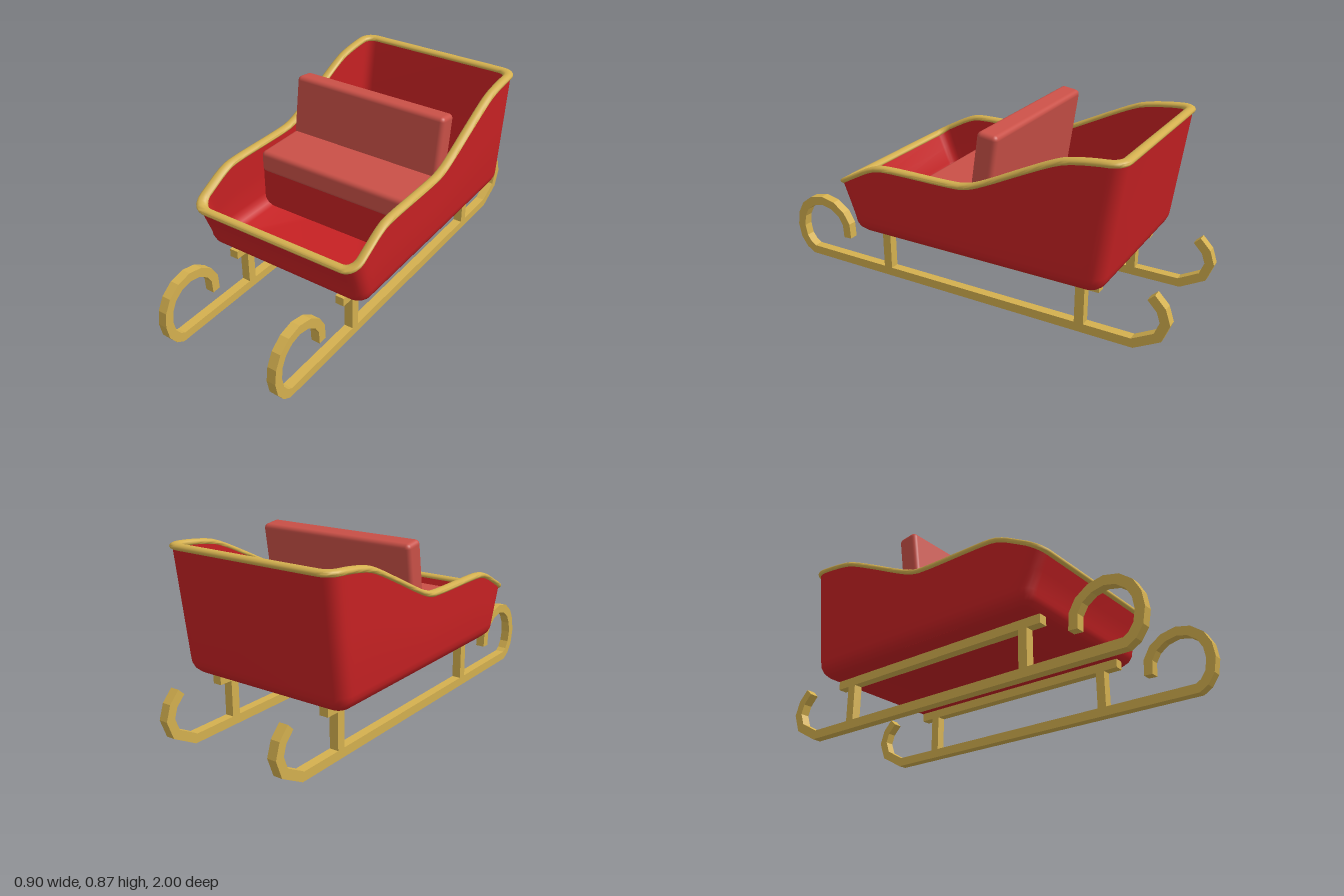
import * as THREE from 'three';
import { toCreasedNormals } from 'three/addons/utils/BufferGeometryUtils.js';
import { RoundedBoxGeometry } from 'three/addons/geometries/RoundedBoxGeometry.js';

const material = (name, color) => {
  const m = new THREE.MeshStandardMaterial({ color });
  m.name = name;
  return m;
};

// Height of the tub's rim along z: low at the front, sweeping up at the back
const rimPoints = new THREE.SplineCurve([
  [-0.81, 0.851], [-0.7, 0.846], [-0.58, 0.83], [-0.5, 0.805], [-0.35, 0.735], [-0.2, 0.662],
  [-0.1, 0.622], [0, 0.612], [0.32, 0.612], [0.41, 0.598], [0.5, 0.555], [0.63, 0.484],
].map(([z, y]) => new THREE.Vector2(z, y))).getPoints(120);

function rimHeight(z) {
  let i = 1;
  while (i < rimPoints.length - 1 && rimPoints[i].x < z) i++;
  const a = rimPoints[i - 1], b = rimPoints[i];
  return THREE.MathUtils.mapLinear(z, a.x, b.x, a.y, b.y);
}

// Rounded rectangle in plan; v runs from the foot of the wall (0) to the rim (1)
function planRing(inset, v) {
  const lerp = THREE.MathUtils.lerp;
  const front = lerp(0.55, 0.615, v) - inset;
  const back = lerp(-0.735, -0.802, v) + inset;
  const hw = 0.438 - inset, r = Math.max(0.03, 0.065 - inset * 0.6);
  const pts = [];
  const side = (x, z0, z1) => {
    for (let i = 1; i < 40; i++) pts.push([x, lerp(z0, z1, i / 40)]);
  };
  const corner = (cx, cz, start) => {
    for (let i = 0; i <= 5; i++) {
      const a = start + (i / 5) * Math.PI / 2;
      pts.push([cx + r * Math.cos(a), cz - r * Math.sin(a)]);
    }
  };
  side(hw, front - r, back + r);
  corner(hw - r, back + r, 0);
  corner(-hw + r, back + r, Math.PI / 2);
  side(-hw, back + r, front - r);
  corner(-hw + r, front - r, Math.PI);
  corner(hw - r, front - r, Math.PI * 1.5);
  return pts;
}
const rimRing = planRing(0, 1);

// Joins closed rings of [x, y, z] points into one skin
function loft(rings, crease) {
  const n = rings[0].length, index = [];
  for (let i = 0; i < rings.length - 1; i++) {
    for (let j = 0; j < n; j++) {
      const k = (j + 1) % n, a = i * n, b = a + n;
      index.push(a + j, a + k, b + k, a + j, b + k, b + j);
    }
  }
  const g = new THREE.BufferGeometry();
  g.setAttribute('position', new THREE.Float32BufferAttribute(rings.flat(2), 3));
  g.setIndex(index);
  return toCreasedNormals(g, crease);
}

// Tub: outer skin from the bottom up, over the rim and down to the inner floor
function tubGeometry() {
  const flat = (inset, y) => planRing(inset, 0).map(([x, z]) => [x, y, z]);
  const wall = (inset, v, y0) => planRing(inset, v).map(([x, z], j) =>
    [x, y0 + (rimHeight(rimRing[j][1]) - y0) * v, z]);
  const centre = (y) => rimRing.map(() => [0, y, -0.09]);
  return loft([
    centre(0.26), flat(0.06, 0.26), flat(0.036, 0.268), flat(0.014, 0.288), flat(0.003, 0.312),
    wall(0, 0, 0.335), wall(0, 0.5, 0.335), wall(0, 1, 0.335),
    wall(0.03, 1, 0.345), wall(0.03, 0.5, 0.345), wall(0.03, 0, 0.345),
    flat(0.036, 0.318), flat(0.052, 0.298), flat(0.08, 0.288), centre(0.288),
  ], 0.8);
}

// Trim: flattened tube that follows the rim
function trimGeometry() {
  const rings = [];
  for (let i = 0; i <= 12; i++) {
    const a = (i / 12) * Math.PI * 2;
    rings.push(planRing(0.012 - 0.023 * Math.cos(a), 1).map(([x, z], j) =>
      [x, rimHeight(rimRing[j][1]) + 0.015 * Math.sin(a), z]));
  }
  return loft(rings, 1.2);
}

// Runner: a constant-width band along a [z, y] centre line, extruded sideways
function runnerGeometry(width, thickness) {
  const path = [
    [0.68, 0.14], [0.684, 0.21], [0.713, 0.259], [0.765, 0.295], [0.83, 0.309], [0.892, 0.295],
    [0.942, 0.257], [0.97, 0.205], [0.979, 0.145], [0.967, 0.083], [0.938, 0.042], [0.905, 0.022],
    [-0.84, 0.022], [-0.95, 0.083], [-0.977, 0.155], [-0.957, 0.214], [-0.91, 0.263],
  ].map(([z, y]) => new THREE.Vector2(z, y));
  const left = [], right = [];
  path.forEach((p, i) => {
    const before = p.clone().sub(path[Math.max(i - 1, 0)]).normalize();
    const after = path[Math.min(i + 1, path.length - 1)].clone().sub(p).normalize();
    const t = before.clone().add(after).normalize();
    const mitre = Math.max(t.dot(before), t.dot(after));
    const offset = new THREE.Vector2(-t.y, t.x).multiplyScalar(thickness / 2 / mitre);
    left.push(p.clone().add(offset));
    right.unshift(p.clone().sub(offset));
  });
  const g = new THREE.ExtrudeGeometry(new THREE.Shape([...left, ...right]),
    { depth: width, bevelEnabled: false });
  g.translate(0, 0, -width / 2);
  return g.rotateY(-Math.PI / 2);
}

export function createModel() {
  const red = material('body red', 0xc62123);
  const gold = material('gold', 0xd4b04f);
  const rose = material('cushion rose', 0xc95047);
  const model = new THREE.Group();
  model.name = 'sleigh';

  const add = (parent, name, geometry, mat, x = 0, y = 0, z = 0) => {
    const mesh = new THREE.Mesh(geometry, mat);
    mesh.name = name;
    mesh.position.set(x, y, z);
    parent.add(mesh);
    return mesh;
  };

  add(model, 'tub', tubGeometry(), red);
  add(model, 'rimTrim', trimGeometry(), gold);

  // Bench
  const bench = new THREE.Group();
  bench.name = 'bench';
  model.add(bench);
  add(bench, 'seatBase', new THREE.BoxGeometry(0.81, 0.23, 0.32), red, 0, 0.385, -0.005);
  add(bench, 'seatCushion', new RoundedBoxGeometry(0.815, 0.11, 0.33, 3, 0.022), rose, 0, 0.533, 0.004);
  const rest = add(bench, 'backrest', new RoundedBoxGeometry(0.815, 0.39, 0.1, 3, 0.022), rose, 0, 0.67, -0.155);
  rest.rotation.x = -0.14;

  // Runners with posts and rails, mirrored left and right
  for (const [label, x] of [['left', 0.3], ['right', -0.3]]) {
    const skid = new THREE.Group();
    skid.name = label + 'Skid';
    skid.position.x = x;
    model.add(skid);
    add(skid, 'runner', runnerGeometry(0.044, 0.043), gold);
    add(skid, 'rail', new THREE.BoxGeometry(0.044, 0.042, 1.205), gold, 0, 0.239, -0.078);
    add(skid, 'frontPost', new THREE.BoxGeometry(0.044, 0.19, 0.044), gold, 0, 0.13, 0.433);
    add(skid, 'backPost', new THREE.BoxGeometry(0.044, 0.19, 0.044), gold, 0, 0.13, -0.592);
  }
  return model;
}
